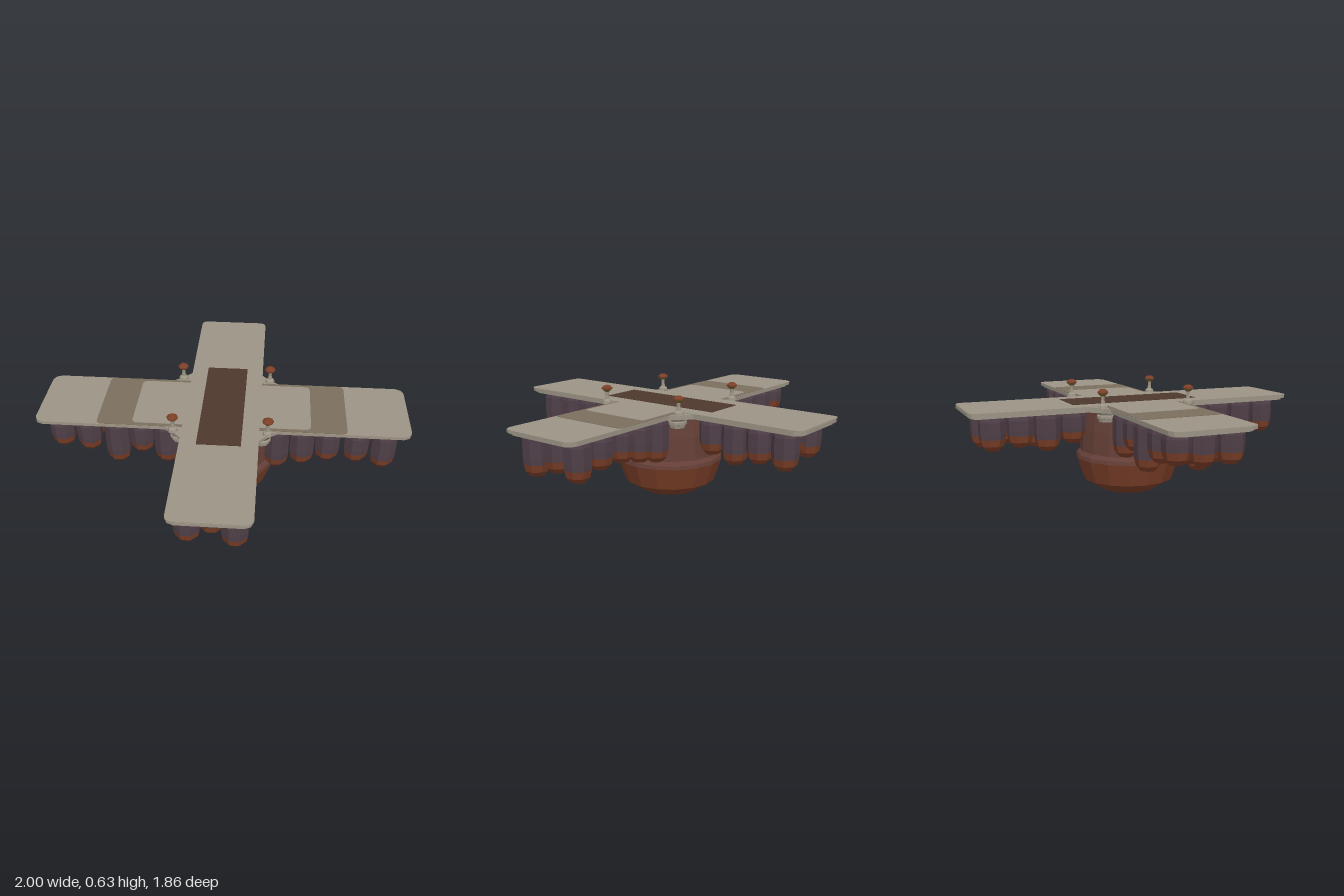
import * as THREE from 'three';

const mat = (name, color, extra = {}) => {
  const m = new THREE.MeshStandardMaterial({ color, flatShading: true, ...extra });
  m.name = name;
  return m;
};

// Rounded rectangle with half sizes a, b
function roundedRect(a, b, r) {
  const s = new THREE.Shape();
  s.moveTo(-a + r, -b);
  s.lineTo(a - r, -b);
  s.quadraticCurveTo(a, -b, a, -b + r);
  s.lineTo(a, b - r);
  s.quadraticCurveTo(a, b, a - r, b);
  s.lineTo(-a + r, b);
  s.quadraticCurveTo(-a, b, -a, b - r);
  s.lineTo(-a, -b + r);
  s.quadraticCurveTo(-a, -b, -a + r, -b);
  return s;
}

// Cross outline with rounded arm ends and chamfered inner corners
function crossShape(inset) {
  const X = 1 - inset, Z = 0.93 - inset, hx = 0.205 - inset, hz = 0.225 - inset, r = 0.045;
  const quarter = [[X, hz - r], [X - r * 0.3, hz - r * 0.3], [X - r, hz], [0.3, hz], [0.26, 0.25 - inset],
    [0.23, 0.28 - inset], [hx, 0.31], [hx, Z - r], [hx - r * 0.3, Z - r * 0.3], [hx - r, Z]];
  const flipped = [...quarter].reverse();
  const points = [
    ...quarter,
    ...flipped.map(([x, z]) => [-x, z]),
    ...quarter.map(([x, z]) => [-x, -z]),
    ...flipped.map(([x, z]) => [x, -z]),
  ];
  return new THREE.Shape(points.map(([x, z]) => new THREE.Vector2(x, z)));
}

export function createModel() {
  const stone = mat('pale stone', 0x9c9485);
  const band = mat('brown band', 0x7b6e5d);
  const strip = mat('dark strip', 0x4e382c);
  const podSkin = mat('dark plum', 0x503f48, { side: THREE.DoubleSide });
  const rust = mat('rust', 0x7c3f28, { side: THREE.DoubleSide });
  const maroon = mat('maroon brown', 0x643f37, { side: THREE.DoubleSide });
  const brass = mat('old brass', 0x7c6635);

  const model = new THREE.Group();
  model.name = 'crossPlatform';

  const add = (parent, name, geometry, material, x = 0, y = 0, z = 0) => {
    const mesh = new THREE.Mesh(geometry, material);
    mesh.name = name;
    mesh.position.set(x, y, z);
    parent.add(mesh);
    return mesh;
  };
  const plate = (name, shape, material, y, h) => {
    const g = new THREE.ExtrudeGeometry(shape, { depth: h, bevelEnabled: false, curveSegments: 5 });
    g.rotateX(-Math.PI / 2);
    return add(model, name, g, material, 0, y, 0);
  };
  const lathe = (points, sides) =>
    new THREE.LatheGeometry(points.map(([r, y]) => new THREE.Vector2(r, y)), sides);

  // Deck: two stepped slabs
  plate('deckLower', crossShape(0.014), stone, 0.503, 0.012);
  plate('deckUpper', crossShape(0), stone, 0.514, 0.017);

  // Thin painted panels on the deck
  plate('armBands', roundedRect(0.665, 0.222, 0.035), band, 0.53, 0.003);
  plate('middlePanel', roundedRect(0.475, 0.2, 0.03), stone, 0.53, 0.005);
  plate('longPanel', roundedRect(0.204, 0.928, 0.04), stone, 0.53, 0.005);
  add(model, 'centreStrip', new THREE.BoxGeometry(0.23, 0.007, 0.73), strip, 0, 0.5335, 0);

  // Hanging bowl under the centre
  add(model, 'bowlLower', lathe([[0, 0.002], [0.15, 0.028], [0.255, 0.092], [0.296, 0.215]], 16), rust);
  add(model, 'bowlUpper', lathe([[0.296, 0.215], [0.292, 0.235], [0.274, 0.255], [0.265, 0.38], [0.245, 0.505]], 16), maroon);

  // Corner brackets and finials
  for (const sx of [-1, 1]) {
    for (const sz of [-1, 1]) {
      const corner = new THREE.Group();
      corner.name = 'cornerPost';
      corner.position.set(sx * 0.248, 0, sz * 0.248);
      model.add(corner);
      add(corner, 'bracket', lathe([[0, 0.455], [0.04, 0.455], [0.043, 0.472], [0.05, 0.474],
        [0.05, 0.488], [0.044, 0.492], [0.052, 0.505]], 10), stone, -sx * 0.03, 0, -sz * 0.03);
      add(corner, 'stem', lathe([[0.028, 0.528], [0.024, 0.545], [0.012, 0.553], [0.009, 0.575],
        [0.011, 0.6], [0, 0.6]], 8), stone);
      add(corner, 'knobBase', lathe([[0, 0.59], [0.013, 0.594], [0.03, 0.61]], 8), brass);
      add(corner, 'knobCap', lathe([[0.03, 0.61], [0.029, 0.617], [0.014, 0.629], [0, 0.631]], 8), rust);
    }
  }

  // Hanging pod with a rounded rust tip
  const pod = (x, z, bottom) => {
    const g = new THREE.Group();
    g.name = 'hangingPod';
    g.position.set(x, 0, z);
    g.rotation.y = Math.PI / 8;
    model.add(g);
    add(g, 'podTip', lathe([[0, bottom], [0.036, bottom + 0.008], [0.059, bottom + 0.034], [0.068, bottom + 0.07]], 8), rust);
    add(g, 'podBody', lathe([[0.068, bottom + 0.07], [0.07, bottom + 0.1], [0.07, 0.48], [0.062, 0.505]], 8), podSkin);
  };

  // Side arms: lowest points of the outer rows, from the end inward
  const sideX = [0.87, 0.725, 0.57, 0.435, 0.3];
  const leftArm = [0.28, 0.31, 0.31, 0.28, 0.25];
  const rightArm = [0.33, 0.31, 0.235, 0.31, 0.25];
  sideX.forEach((x, i) => {
    for (const s of [-1, 1]) {
      pod(x, s * 0.14, leftArm[i] + (s < 0 ? 0.02 : 0));
      pod(-x, s * 0.14, rightArm[i] + (s < 0 ? 0.02 : 0));
    }
    pod(x - 0.01, 0, 0.32 + 0.02 * (i % 2));
    pod(-x + 0.01, 0, 0.33 - 0.02 * (i % 2));
  });

  // Front and back arms
  const longZ = [0.8, 0.655, 0.51, 0.37];
  const frontArm = [0.29, 0.28, 0.29, 0.28];
  const backArm = [0.3, 0.31, 0.28, 0.31];
  longZ.forEach((z, i) => {
    for (const s of [-1, 1]) {
      pod(s * 0.115, z, frontArm[i] + (s < 0 ? 0.02 : 0));
      pod(s * 0.115, -z, backArm[i] + (s < 0 ? 0.02 : 0));
    }
    pod(0, z - 0.03, 0.34);
    pod(0, -z + 0.03, 0.35);
  });

  return model;
}
